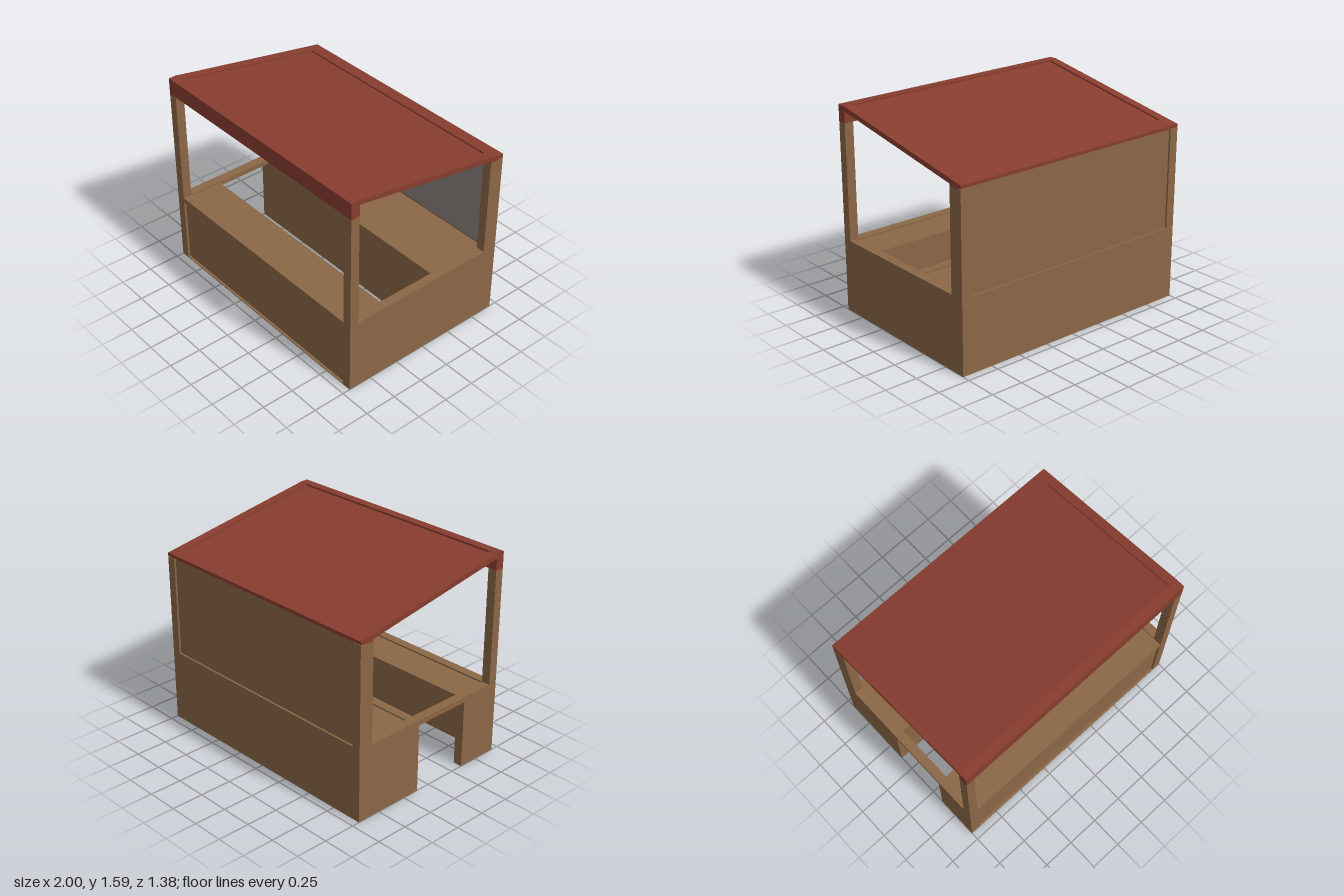
import * as THREE from 'three';

const W = 1, D = 0.69;            // half width and half depth
const IX = 0.93;                  // inner face of the side posts
const FZ = 0.62, BZ = -0.575;     // inner faces of the front and back posts
const RAIL = 0.53, TOP = 0.57;    // counter rail underside and top

export function createModel() {
  const model = new THREE.Group();
  model.name = 'marketBooth';

  const mat = (name, color) => {
    const m = new THREE.MeshStandardMaterial({ color });
    m.name = name;
    return m;
  };
  const wood = mat('wood', 0x8b6747);
  const red = mat('roofRed', 0x883d2f);
  const grey = mat('greyBoard', 0x8a827d);

  const add = (name, geometry, material) => {
    const mesh = new THREE.Mesh(geometry, material);
    mesh.name = name;
    model.add(mesh);
  };
  // box given by its ranges along x, y and z
  const box = (name, [x0, x1], [y0, y1], [z0, z1], material = wood) => {
    const g = new THREE.BoxGeometry(x1 - x0, y1 - y0, z1 - z0);
    g.translate((x0 + x1) / 2, (y0 + y1) / 2, (z0 + z1) / 2);
    add(name, g, material);
  };
  // side profile of [z, y] points, extruded from x0 to x1
  const prism = (name, points, x0, x1, material) => {
    const shape = new THREE.Shape(points.map(([z, y]) => new THREE.Vector2(z, y)));
    const g = new THREE.ExtrudeGeometry(shape, { depth: x1 - x0, bevelEnabled: false });
    g.rotateY(-Math.PI / 2).translate(x1, 0, 0);
    add(name, g, material);
  };

  // posts
  for (const s of [-1, 1]) {
    const x = s > 0 ? [IX, W] : [-W, -IX];
    const side = s > 0 ? 'left' : 'right';
    box(side + 'FrontPost', x, [TOP, 1.465], [FZ, D]);
    box(side + 'BackPost', x, [TOP, 1.34], [-D, BZ]);
  }

  // closed left wall, and the right side with its doorway under the rail
  box('leftWall', [IX, W], [0, TOP], [-0.115, D]);
  box('rightEndPanel', [-W, -IX], [0, RAIL], [0.35, D]);
  box('rightRail', [-W, -IX], [RAIL, TOP], [-0.115, D]);

  // front counter: recessed front panel, rail, sill and sunken top
  box('frontPanel', [-IX, IX], [0.008, RAIL], [FZ, D - 0.018]);
  box('frontSill', [-IX, IX], [0, 0.008], [FZ, D]);
  box('frontRail', [-IX, IX], [RAIL, TOP], [FZ, D]);
  box('frontCounterTop', [-IX, IX], [RAIL, TOP - 0.012], [0.35, FZ]);

  // back counter: solid block with a raised rim around a sunken top
  const rimY = TOP - 0.012;
  box('backCounter', [-W, W], [0, rimY], [-D, -0.115]);
  box('backCounterFrontRim', [-W, W], [rimY, TOP], [-0.18, -0.115]);
  box('backCounterRearRim', [-W, W], [rimY, TOP], [-D, -0.63]);
  for (const x of [[-W, -IX], [IX, W]]) {
    box('backCounterSideRim', x, [rimY, TOP], [-0.63, -0.18]);
  }

  // back wall: wood outside, grey board inside
  box('backWall', [-IX, IX], [TOP, 1.365], [-D + 0.015, -0.635]);
  box('backWallLining', [-IX, IX], [TOP, 1.365], [-0.635, -0.63], grey);

  // roof: slope heights of the frame, front and back beams, sunken panel
  const slope = (1.59 - 1.37) / (FZ + D);
  const roofY = z => 1.59 - (FZ - z) * slope;
  const slab = (z0, z1, top, bottom) => [
    [z0, roofY(z0) - bottom], [z1, roofY(z1) - bottom],
    [z1, roofY(z1) - top], [z0, roofY(z0) - top],
  ];
  box('roofFrontBeam', [-W, W], [1.465, 1.592], [FZ, D], red);
  prism('roofBackBeam', [
    [-D, 1.345], [-0.64, 1.337], [BZ, 1.335], [BZ, roofY(BZ)], [-D, roofY(-D)],
  ], -W, W, red);
  for (const [x0, x1] of [[-W, -IX], [IX, W]]) {
    prism('roofSideRail', slab(BZ, FZ, 0, 0.037), x0, x1, red);
  }
  prism('roofPanel', slab(BZ, FZ, 0.012, 0.032), -IX, IX, red);

  return model;
}
